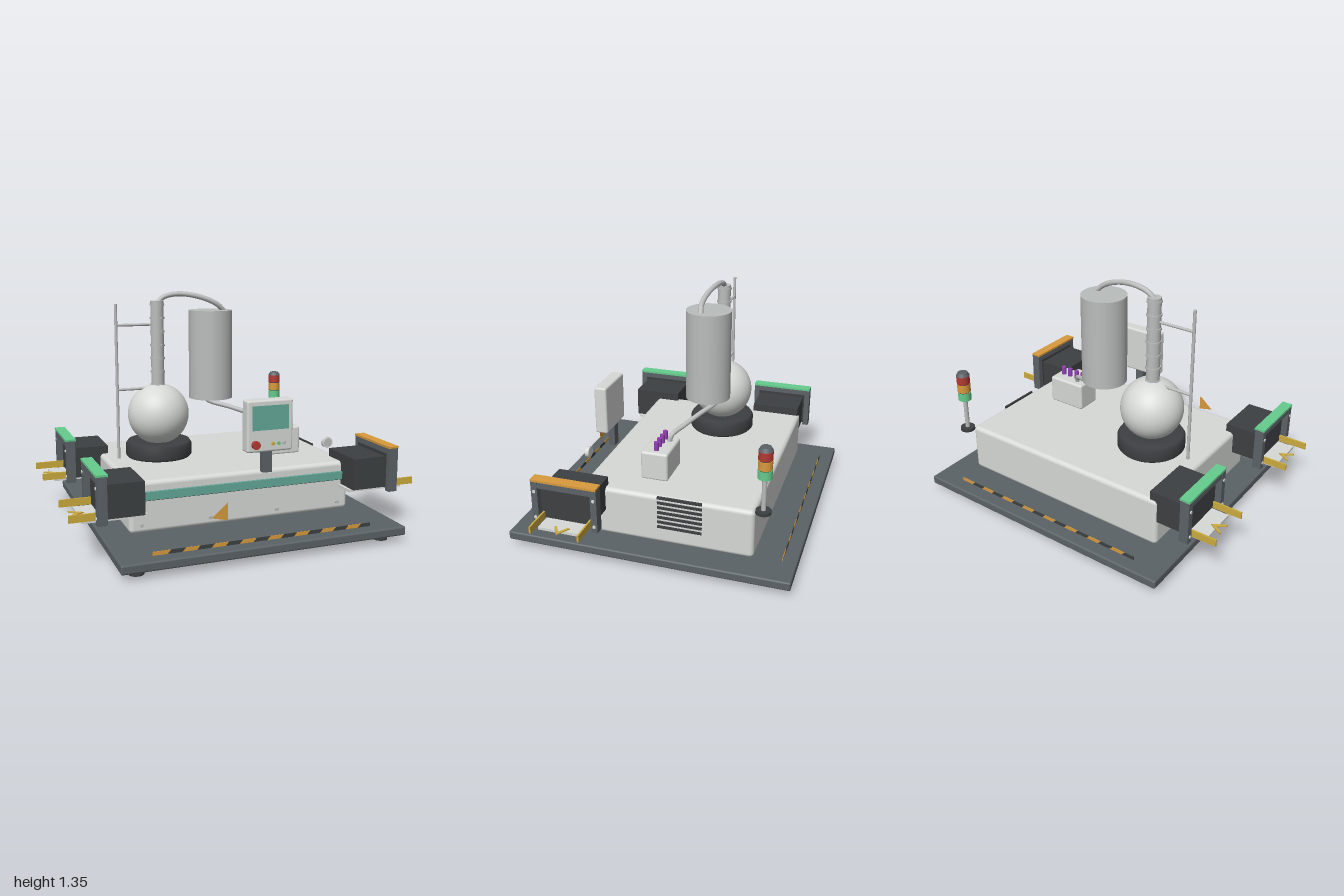
import * as THREE from 'three';
import { RoundedBoxGeometry } from 'three/addons/geometries/RoundedBoxGeometry.js';

const mat = (name, color, side = THREE.FrontSide) => {
  const m = new THREE.MeshStandardMaterial({ color, side });
  m.name = name;
  return m;
};

export function createModel() {
  const root = new THREE.Group();
  root.name = 'distillationStation';
  const light = mat('light grey', 0xd6d9d6);
  const steel = mat('steel', 0xb9bdbb);
  const slate = mat('slate grey', 0x5b6267);
  const dark = mat('charcoal', 0x3d4042);
  const green = mat('green', 0x66cc8c);
  const teal = mat('teal', 0x64a798);
  const orange = mat('orange', 0xd89a3c, THREE.DoubleSide);
  const yellow = mat('yellow', 0xcdab3e);
  const red = mat('red', 0xb23a34);
  const purple = mat('purple', 0x9440b4);

  const add = (name, geo, m, x = 0, y = 0, z = 0, parent = root) => {
    const mesh = new THREE.Mesh(geo, m);
    mesh.name = name;
    mesh.position.set(x, y, z);
    parent.add(mesh);
    return mesh;
  };
  const group = (name, x = 0, y = 0, z = 0) => {
    const g = new THREE.Group();
    g.name = name;
    g.position.set(x, y, z);
    root.add(g);
    return g;
  };
  // Box given by its minimum and maximum on each axis
  const box = (name, m, [x0, x1], [y0, y1], [z0, z1], r = 0, parent = root) => {
    const s = [x1 - x0, y1 - y0, z1 - z0];
    const geo = r ? new RoundedBoxGeometry(...s, 4, r) : new THREE.BoxGeometry(...s);
    return add(name, geo, m, (x0 + x1) / 2, (y0 + y1) / 2, (z0 + z1) / 2, parent);
  };
  // Upright cylinder between two heights
  const cyl = (name, m, r, y0, y1, x, z, parent = root, seg = 32) =>
    add(name, new THREE.CylinderGeometry(r, r, y1 - y0, seg), m, x, (y0 + y1) / 2, z, parent);
  // Disc or knob facing the front
  const knob = (name, m, r, depth, x, y, z) => {
    const k = add(name, new THREE.CylinderGeometry(r, r, depth, 24), m, x, y, z);
    k.rotation.x = Math.PI / 2;
    return k;
  };
  const tube = (name, m, r, pts) => add(name, new THREE.TubeGeometry(
    new THREE.CatmullRomCurve3(pts.map(p => new THREE.Vector3(...p))), 40, r, 12), m);
  const poly = pts => new THREE.Shape(pts.map(p => new THREE.Vector2(...p)));

  // Base plate on four levelling feet
  box('basePlate', slate, [-0.8, 0.8], [0.04, 0.09], [-0.8, 0.8], 0.01);
  for (const x of [-0.7, 0.7]) for (const z of [-0.7, 0.7]) {
    cyl('footPad', dark, 0.04, 0, 0.012, x, z);
    cyl('footStem', steel, 0.014, 0.012, 0.042, x, z);
  }

  // Hazard strips standing along the front and back edges
  for (const side of [1, -1]) {
    const strip = group('hazardStrip', 0, 0.09, side * 0.72);
    if (side < 0) strip.rotation.y = Math.PI;
    const n = 16, w = 1.24 / n;
    for (let i = 0; i < n; i++) {
      const x = -0.62 + i * w, lean = 0.018;
      const a = i === 0 ? 0 : lean, b = i === n - 1 ? 0 : lean;
      const s = poly([[x, 0], [x + w, 0], [x + w + b, 0.02], [x + a, 0.02]]);
      add('hazardBlock', new THREE.ExtrudeGeometry(s, { depth: 0.003, bevelEnabled: false }),
        i % 2 ? dark : orange, 0, 0, 0, strip);
    }
  }
  add('warningTriangle', new THREE.ShapeGeometry(
    poly([[-0.29, 0.227], [-0.2, 0.206], [-0.2, 0.303]])), orange, 0, 0, 0.67);

  // Housing with front stripe, bolts and side vents
  box('housing', light, [-0.655, 0.655], [0.095, 0.38], [-0.57, 0.41], 0.025);
  box('frontStripe', teal, [-0.615, 0.615], [0.28, 0.325], [0.4, 0.428]);
  box('stripeShadowGap', dark, [-0.615, 0.615], [0.273, 0.28], [0.4, 0.413]);
  for (const x of [-0.59, -0.2, 0.2, 0.585]) knob('panelBolt', steel, 0.01, 0.016, x, 0.142, 0.413);
  for (let i = 0; i < 7; i++) {
    const y = 0.19 + i * 0.0295;
    box('ventSlat', dark, [0.65, 0.661], [y, y + 0.015], [-0.287, -0.037]);
  }

  // Transfer ports, built facing +x
  const arrow = poly([[-0.035, 0.045], [0.04, 0], [-0.035, -0.045], [-0.035, -0.03], [0.01, 0], [-0.035, 0.03]]);
  const port = (side, z, barMat) => {
    const g = group('transferPort', 0, 0, z);
    if (side < 0) g.rotation.y = Math.PI;
    box('portTunnel', dark, [0.607, 0.82], [0.247, 0.427], [-0.146, 0.146], 0, g);
    box('portBack', dark, [0.81, 0.828], [0.245, 0.445], [-0.155, 0.155], 0, g);
    for (const s of [-1, 1]) {
      const post = s * 0.17;
      box('portPost', slate, [0.812, 0.865], [0.228, 0.48], [post - 0.018, post + 0.018], 0, g);
      for (const y of [0.265, 0.42]) {
        const b = add('portBolt', new THREE.CylinderGeometry(0.009, 0.009, 0.006, 12), light, 0.867, y, post, g);
        b.rotation.z = Math.PI / 2;
      }
      const rail = s * 0.137;
      box('guideRail', yellow, [0.83, 1], [0.247, 0.287], [rail - 0.005, rail + 0.005], 0, g);
    }
    box('portLintel', slate, [0.812, 0.862], [0.44, 0.48], [-0.155, 0.155], 0, g);
    box('portBar', barMat, [0.807, 0.868], [0.478, 0.491], [-0.188, 0.188], 0, g);
    box('portTray', light, [0.59, 0.93], [0.232, 0.247], [-0.127, 0.127], 0, g);
    const a = add('flowArrow', new THREE.ExtrudeGeometry(arrow, { depth: 0.006, bevelEnabled: false }),
      yellow, 0.935, 0.247, 0, g);
    a.rotation.set(-Math.PI / 2, 0, side < 0 ? Math.PI : 0);
  };
  port(-1, 0.41, green);
  port(-1, -0.413, green);
  port(1, 0.41, orange);

  // Heating mantle, flask and column
  const fx = -0.33, fz = -0.125;
  const mantle = [[0, 0], [0.185, 0], [0.195, 0.012], [0.195, 0.075], [0.182, 0.095], [0.12, 0.095], [0, 0.08]];
  add('heatingMantle', new THREE.LatheGeometry(mantle.map(p => new THREE.Vector2(...p)), 48), dark, fx, 0.38, fz);
  add('flask', new THREE.SphereGeometry(0.18, 40, 28), light, fx, 0.632, fz);
  cyl('column', steel, 0.038, 0.79, 1.295, fx, fz);
  for (let i = 0; i < 7; i++) {
    const y = 0.8 + i * 0.078;
    cyl('columnRing', steel, 0.043, y, y + 0.012, fx, fz);
  }

  // Support rod with two clamps
  cyl('supportRod', steel, 0.009, 0.38, 1.28, -0.575, fz, root, 12);
  for (const y of [0.787, 1.16]) {
    const arm = add('clampArm', new THREE.CylinderGeometry(0.008, 0.008, 0.23, 12), steel, -0.46, y, fz);
    arm.rotation.z = Math.PI / 2;
  }

  // Condenser with vapour and outlet tubes
  cyl('condenser', steel, 0.13, 0.71, 1.235, 0, fz, root, 48);
  tube('vapourTube', steel, 0.015, [[-0.33, 1.28, -0.125], [-0.29, 1.315, -0.128], [-0.2, 1.333, -0.122],
    [-0.07, 1.313, -0.1], [0.03, 1.27, -0.09], [0.08, 1.225, -0.1]]);
  tube('outletTube', steel, 0.014, [[-0.02, 0.72, -0.19], [0, 0.685, -0.18], [0.12, 0.645, -0.11],
    [0.22, 0.61, -0.05], [0.3, 0.575, 0], [0.31, 0.53, 0.01]]);

  // Sample manifold with vials
  box('manifold', light, [0.247, 0.485], [0.375, 0.543], [-0.037, 0.12], 0.014);
  for (let i = 0; i < 4; i++) cyl('vial', purple, 0.014, 0.535, 0.593, 0.29 + i * 0.05, 0.04, root, 16);
  knob('gauge', light, 0.031, 0.022, 0.505, 0.506, 0.42);
  knob('gaugeFace', steel, 0.023, 0.004, 0.505, 0.506, 0.432);

  // Operator panel
  box('panelPost', slate, [0.092, 0.146], [0.375, 0.53], [0.415, 0.455]);
  box('operatorPanel', light, [-0.017, 0.255], [0.5, 0.787], [0.413, 0.488], 0.012);
  box('screen', teal, [0.013, 0.228], [0.622, 0.757], [0.48, 0.491]);
  knob('stopButton', red, 0.023, 0.025, 0.03, 0.545, 0.499);
  [yellow, green, steel].forEach((m, i) => knob('panelButton', m, 0.01, 0.012, 0.135 + i * 0.033, 0.545, 0.491));

  // Signal tower
  const tx = 0.652, tz = -0.615;
  cyl('towerBase', dark, 0.042, 0.385, 0.403, tx, tz);
  cyl('towerPole', steel, 0.013, 0.403, 0.59, tx, tz, root, 16);
  cyl('towerCore', dark, 0.034, 0.587, 0.75, tx, tz);
  [green, orange, red].forEach((m, i) => cyl('towerLamp', m, 0.038, 0.59 + i * 0.053, 0.638 + i * 0.053, tx, tz));
  add('towerCap', new THREE.CylinderGeometry(0.028, 0.039, 0.02, 32), slate, tx, 0.755, tz);
  return root;
}
